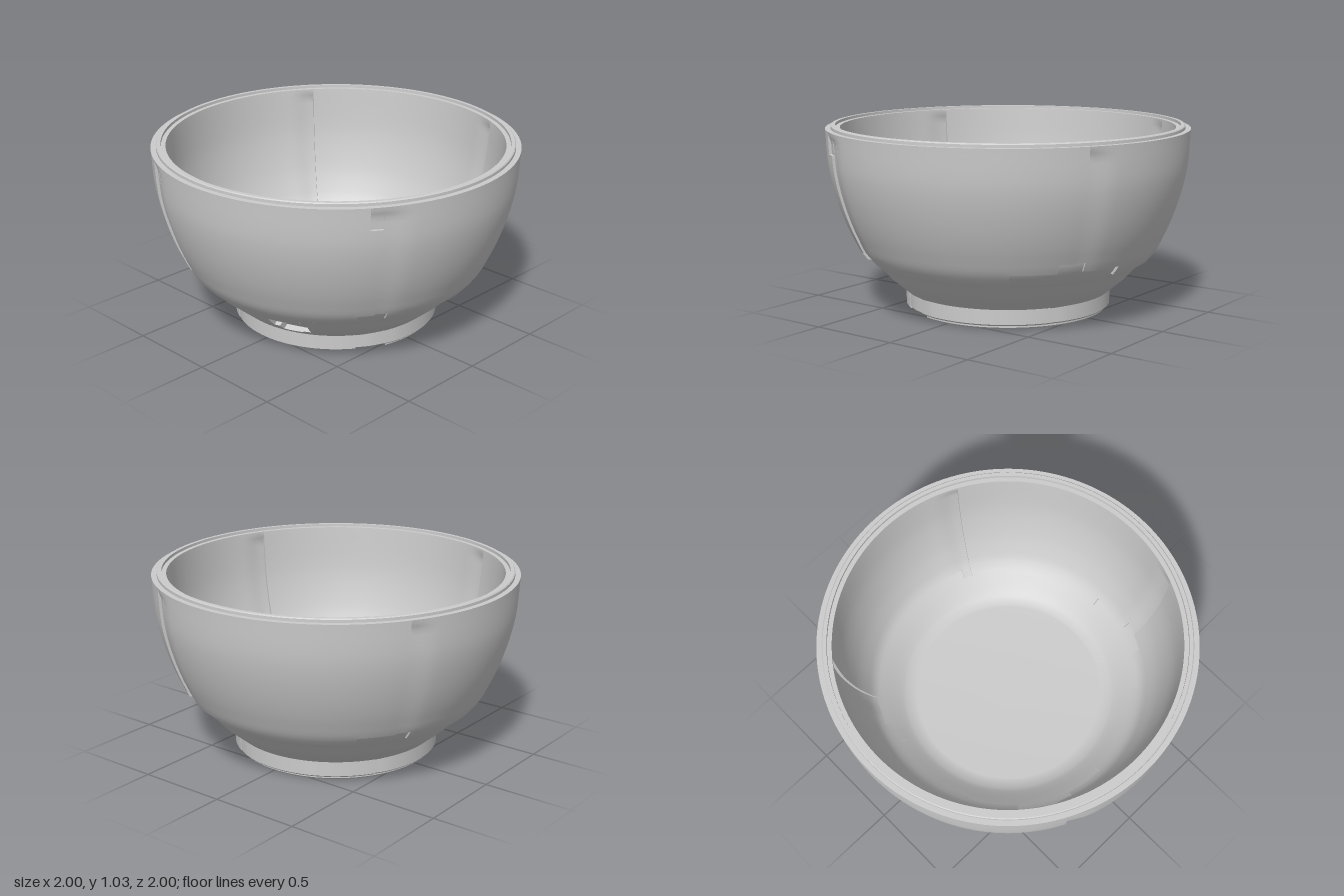
import * as THREE from 'three';
import { mergeGeometries, toCreasedNormals } from 'three/addons/utils/BufferGeometryUtils.js';

const material = new THREE.MeshStandardMaterial({ color: 0xcccccc, side: THREE.DoubleSide });
const { degToRad: rad, radToDeg, smoothstep, euclideanModulo, clamp } = THREE.MathUtils;
const vec = (x, y) => new THREE.Vector2(x, y);

// Radius as a function of height, read from a smooth curve.
function radiusCurve(points) {
  const s = new THREE.SplineCurve(points.map(p => vec(...p))).getPoints(160);
  return y => {
    let i = 1;
    while (i < s.length - 1 && s[i].y < y) i++;
    const t = clamp((y - s[i - 1].y) / (s[i].y - s[i - 1].y), 0, 1);
    return s[i - 1].x + t * (s[i].x - s[i - 1].x);
  };
}
const outerR = radiusCurve([[0.57, 0.105], [0.79, 0.3], [0.87, 0.43], [0.94, 0.61], [0.985, 0.8], [1, 1.01]]);
const innerR = radiusCurve([[0.5, 0.178], [0.57, 0.195], [0.69, 0.292], [0.74, 0.338], [0.775, 0.385], [0.84, 0.535], [0.893, 0.75], [0.92, 1.02]]);

// Points on a radius curve at shared heights, so neighbouring pieces line up.
function slice(fn, y0, y1, offset = () => 0, step = 0.025) {
  const heights = [y0];
  for (let k = Math.ceil(y0 / step + 0.01); k * step < y1 - 0.001; k++) heights.push(k * step);
  return [...heights, y1].map(y => vec(fn(y) + offset(y), y));
}

// Closed cross-section swept from angle a0 to a1 (0 = front, 90 = +x), with end caps.
function sweep(profile, a0, a1) {
  const length = a1 - a0;
  const parts = [new THREE.LatheGeometry([...profile, profile[0].clone()], Math.ceil(length / 2), rad(a0), rad(length))];
  if (length < 360) {
    for (const a of [a0, a1]) {
      parts.push(new THREE.ShapeGeometry(new THREE.Shape(profile)).rotateY(rad(a) - Math.PI / 2));
    }
  }
  return mergeGeometries(parts);
}

// Dip the first few degrees of a panel under its neighbour, fading out at the rim.
function dip(geometry, start, depth) {
  const p = geometry.attributes.position;
  for (let i = 0; i < p.count; i++) {
    const a = radToDeg(Math.atan2(p.getX(i), p.getZ(i)));
    const d = euclideanModulo(a - start + 5, 360) - 5;
    const k = 1 - depth * (1 - smoothstep(d, 0, 9)) * (1 - smoothstep(p.getY(i), 0.95, 1.005));
    p.setXYZ(i, p.getX(i) * k, p.getY(i), p.getZ(i) * k);
  }
  return geometry;
}

function addMesh(group, name, geometry) {
  const mesh = new THREE.Mesh(toCreasedNormals(geometry, 0.6), material);
  mesh.name = name;
  group.add(mesh);
}

export function createModel() {
  const bowl = new THREE.Group();
  bowl.name = 'bowl';

  // Core: underside, lower cone, hidden wall and floor; one arc has a chipped cone.
  const inset = y => -0.004 - 0.014 * smoothstep(y, 0.18, 0.27) - 0.012 * smoothstep(y, 0.38, 0.48);
  const core = (chip, chipBottom) => [
    vec(0, 0.1), vec(0.56, 0.1),
    ...slice(outerR, 0.11, 1, y => inset(y) - (y > chipBottom && y < 0.25 ? chip : 0), 0.012),
    ...slice(innerR, 0.179, 1, () => 0.02, 0.015).reverse(),
    vec(0, 0.175),
  ];
  const chips = [[32, 374, 0, 1], [14, 17, 0.04, 0.17], [17, 28, 0.05, 0.14], [28, 32, 0.04, 0.155]];
  addMesh(bowl, 'bowlCore', mergeGeometries(chips.map(([a, b, depth, bottom]) => sweep(core(depth, bottom), a, b))));

  // Outer wall panels: start angle, then [from, to, bottom, top] steps.
  const outerPanels = [
    [-27, [[-27, -23, 0.35], [-23, -4, 0.3], [-4, 30, 0.25], [30, 36, 0.28], [36, 52, 0.3], [52, 54, 0.35], [54, 58, 0.35, 0.89]]],
    [58, [[54, 58, 0.89], [58, 63, 0.35], [63, 127, 0.3], [127, 144, 0.35], [144, 150, 0.4]]],
    [150, [[150, 154, 0.4], [154, 170, 0.35], [170, 225, 0.3], [225, 239, 0.35]]],
    [239, [[239, 245, 0.35], [245, 323, 0.3], [323, 333, 0.35]]],
  ];
  for (const [start, steps] of outerPanels) {
    addMesh(bowl, 'outerWallPanel', mergeGeometries(steps.map(([a, b, y0, y1 = 1.01]) => {
      const profile = [...slice(outerR, y0, y1), ...slice(outerR, y0, y1, () => -0.035).reverse()];
      return dip(sweep(profile, a, b), start, 0.015);
    })));
  }

  // Inner wall panels, each with a stepped lower edge over the floor.
  const innerPanels = [
    [-29, [[-29, -17, 0.36], [-17, 0, 0.33], [0, 43, 0.292], [43, 59, 0.338], [59, 66, 0.38]]],
    [66, [[66, 72, 0.38], [72, 90, 0.335], [90, 115, 0.295], [115, 135, 0.31], [135, 150, 0.32], [150, 153, 0.3]]],
    [153, [[153, 157, 0.3], [157, 233, 0.338]]],
    [233, [[233, 246, 0.335], [246, 249, 0.29], [249, 255, 0.25], [255, 297, 0.292], [297, 320, 0.315], [320, 331, 0.36]]],
  ];
  for (const [start, steps] of innerPanels) {
    addMesh(bowl, 'innerWallPanel', mergeGeometries(steps.map(([a, b, y0]) => {
      const profile = [...slice(innerR, y0, 1.015, () => 0.03), ...slice(innerR, y0, 1.015).reverse()];
      return dip(sweep(profile, a, b), start, -0.018);
    })));
  }

  // Stepped rim: raised middle lip between the wall tops.
  addMesh(bowl, 'rimLip', sweep([vec(0.942, 0.98), vec(0.972, 0.98), vec(0.97, 1.025), vec(0.965, 1.03), vec(0.945, 1.03)], 0, 360));

  // Foot ring segments with a sloping inside, meeting at the wall seams.
  const feet = [[-27, 55, 0.02], [55, 72, 0.025], [72, 150, 0.02], [150, 239, 0.02], [239, 333, 0.02]];
  for (const [a, b, y] of feet) {
    const profile = [vec(0.54, y), vec(0.562, y), vec(0.57, y + 0.008), vec(0.57, 0.112), vec(0.505, 0.112)];
    addMesh(bowl, 'footSegment', dip(sweep(profile, a, b), a, 0.008));
  }
  // Low inner tread, exposed along part of the foot.
  addMesh(bowl, 'footTread', sweep([vec(0.535, 0.004), vec(0.543, 0), vec(0.55, 0.008), vec(0.55, 0.1), vec(0.5, 0.1)], 74, 290));

  return bowl;
}
